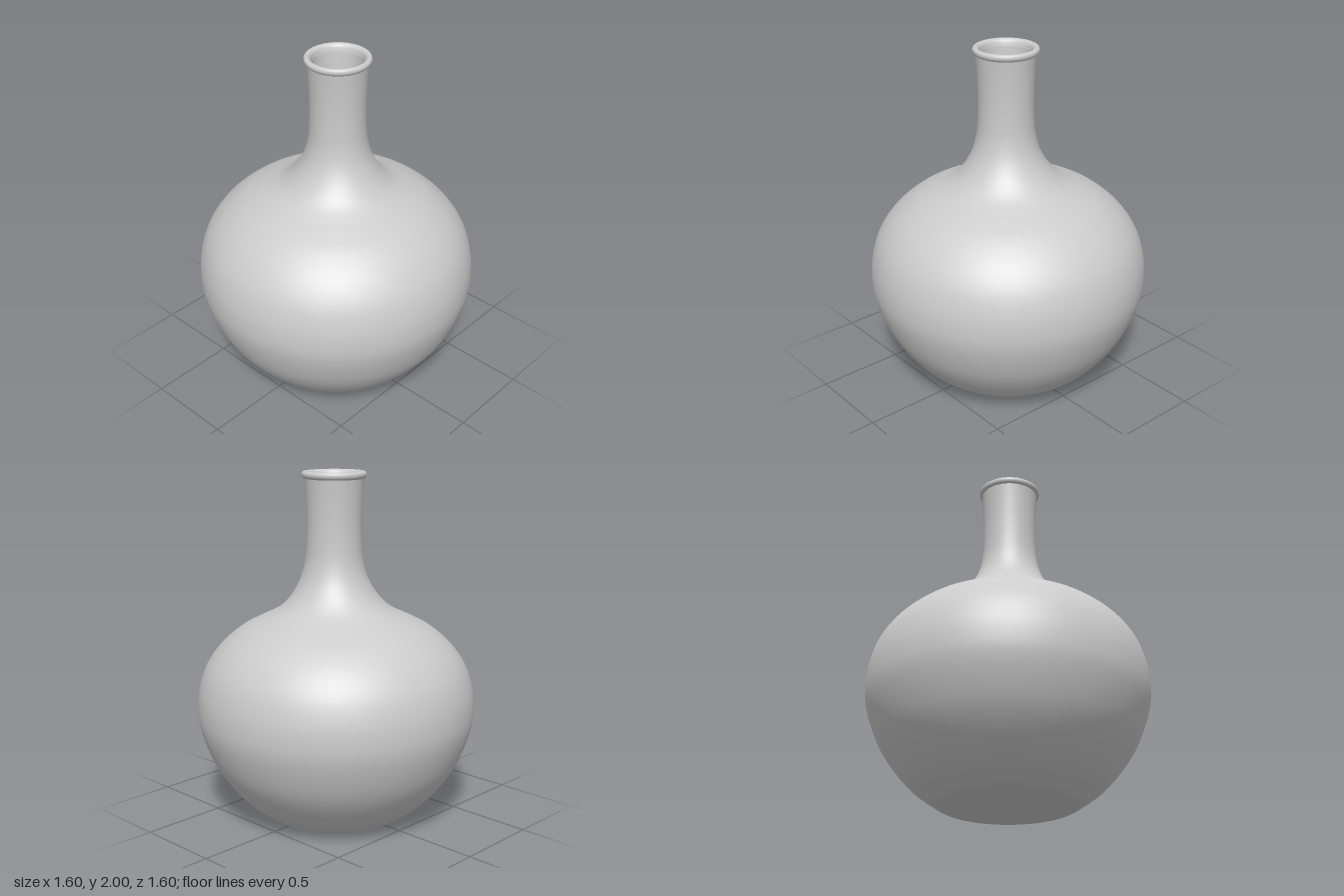
import * as THREE from 'three';

const material = new THREE.MeshStandardMaterial({ color: 0xcccccc, side: THREE.DoubleSide });

// Smooth curve through [radius, height] pairs
function profile(pairs, divisions) {
  const curve = new THREE.SplineCurve(pairs.map(([r, y]) => new THREE.Vector2(r, y)));
  return curve.getPoints(divisions).map((p) => new THREE.Vector2(Math.max(p.x, 0), p.y));
}

// Turn a profile, then let the neck drift slightly off the axis
function turned(name, points) {
  const geometry = new THREE.LatheGeometry(points, 128);
  const pos = geometry.attributes.position;
  for (let i = 0; i < pos.count; i++) {
    const drift = 0.014 * THREE.MathUtils.smoothstep(pos.getY(i), 1.1, 1.45);
    pos.setX(i, pos.getX(i) + drift);
  }
  const mesh = new THREE.Mesh(geometry, material);
  mesh.name = name;
  return mesh;
}

export function createModel() {
  const vase = new THREE.Group();
  vase.name = 'vase';

  // Round belly, shoulder and flaring neck, bottom to top
  const outer = profile([
    [0.385, 0], [0.42, 0.02], [0.53, 0.1], [0.623, 0.2], [0.7, 0.31], [0.752, 0.42],
    [0.79, 0.54], [0.802, 0.64], [0.792, 0.76], [0.75, 0.89], [0.67, 1.005],
    [0.56, 1.1], [0.46, 1.155], [0.385, 1.19], [0.31, 1.235], [0.245, 1.305],
    [0.195, 1.395], [0.168, 1.49], [0.158, 1.59], [0.156, 1.72], [0.161, 1.86],
    [0.168, 1.96],
  ], 110);
  vase.add(turned('outerWall', outer));

  // Rolled rim
  const lip = profile([
    [0.166, 1.958], [0.177, 1.965], [0.183, 1.979], [0.18, 1.993], [0.169, 2],
    [0.157, 1.997], [0.146, 1.985], [0.139, 1.96],
  ], 28);
  vase.add(turned('lip', lip));

  // Hollow inside, top to bottom
  const inner = profile([
    [0.139, 1.96], [0.13, 1.86], [0.122, 1.72], [0.123, 1.59], [0.132, 1.48],
    [0.16, 1.375], [0.21, 1.28], [0.28, 1.21], [0.36, 1.16], [0.45, 1.115],
    [0.55, 1.055], [0.645, 0.975], [0.715, 0.87], [0.755, 0.75], [0.765, 0.64],
    [0.752, 0.54], [0.715, 0.42], [0.665, 0.32], [0.59, 0.22], [0.5, 0.13],
    [0.4, 0.06], [0.3, 0.04], [0, 0.04],
  ], 90);
  vase.add(turned('innerWall', inner));

  // Flat underside
  const base = new THREE.Mesh(new THREE.CircleGeometry(0.385, 128), material);
  base.name = 'base';
  base.rotation.x = Math.PI / 2;
  vase.add(base);

  return vase;
}
